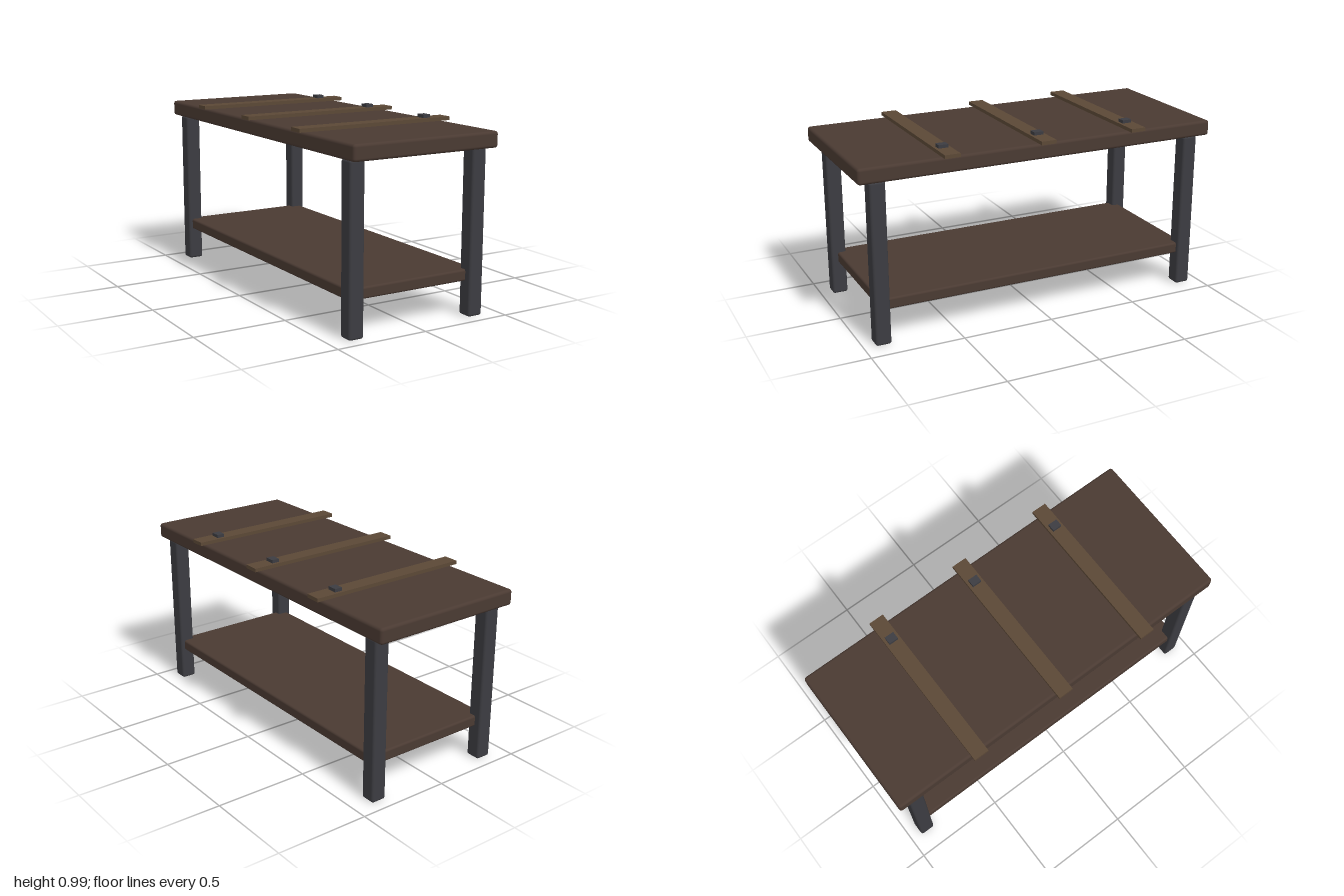
import * as THREE from 'three';
import { RoundedBoxGeometry } from 'three/addons/geometries/RoundedBoxGeometry.js';

const wood = new THREE.MeshStandardMaterial({ color: 0x4a3a32 });
const metal = new THREE.MeshStandardMaterial({ color: 0x3c3c41 });
const leather = new THREE.MeshStandardMaterial({ color: 0x5b4836 });

// Box resting with its underside at y0; a radius gives it rounded edges
function block(name, material, [w, h, d], [x, y0, z], radius = 0) {
  const geometry = radius
    ? new RoundedBoxGeometry(w, h, d, 3, radius)
    : new THREE.BoxGeometry(w, h, d);
  const mesh = new THREE.Mesh(geometry, material);
  mesh.name = name;
  mesh.position.set(x, y0 + h / 2, z);
  return mesh;
}

export function createModel() {
  const table = new THREE.Group();
  table.name = 'strapTable';

  // Top slab and lower shelf
  table.add(block('tableTop', wood, [0.84, 0.083, 2], [0, 0.865, 0], 0.015));
  table.add(block('lowerShelf', wood, [0.755, 0.06, 1.8], [0, 0.182, 0], 0.011));

  // Four square legs
  for (const sx of [-1, 1]) {
    for (const sz of [-1, 1]) {
      table.add(block('leg', metal, [0.083, 0.865, 0.083], [sx * 0.357, 0, sz * 0.896], 0.013));
    }
  }

  // Three straps across the top, each with a buckle toward the left side
  for (const z of [-0.527, 0, 0.527]) {
    const strap = new THREE.Group();
    strap.name = 'strapWithBuckle';
    strap.position.z = z;
    strap.add(block('strap', leather, [0.904, 0.019, 0.083], [0, 0.95, 0]));
    strap.add(block('buckle', metal, [0.042, 0.017, 0.052], [0.314, 0.969, 0]));
    table.add(strap);
  }
  return table;
}
